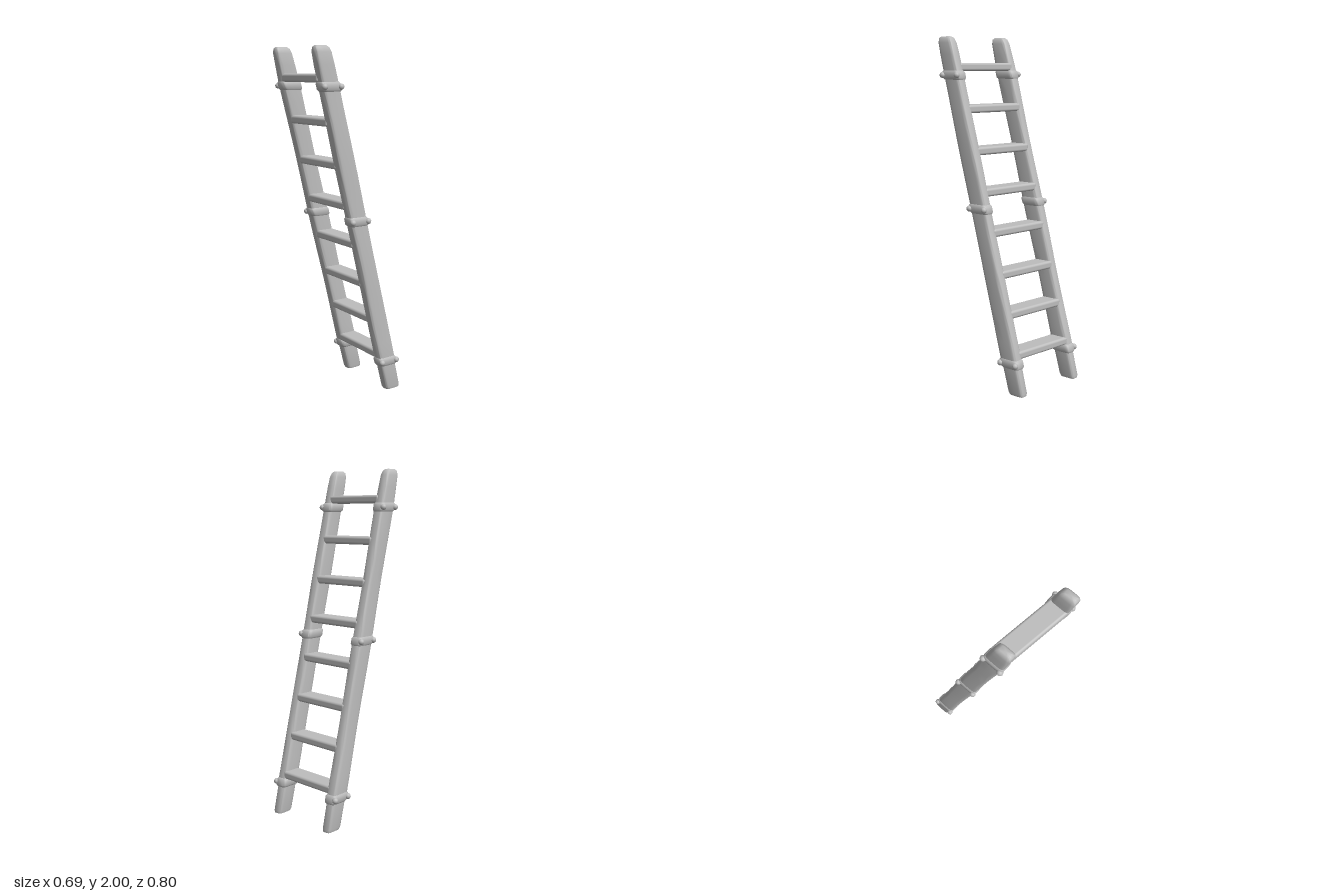
import * as THREE from 'three';
import { toCreasedNormals } from 'three/addons/utils/BufferGeometryUtils.js';
import { RoundedBoxGeometry } from 'three/addons/geometries/RoundedBoxGeometry.js';

const wood = new THREE.MeshStandardMaterial({ color: 0xbdbdbd });
wood.name = 'plain grey wood';

// Horizontal axes of the ladder: across the rails, and towards its front
const side = new THREE.Vector3(0.883, 0, 0.47);
const front = new THREE.Vector3(-0.47, 0, 0.883);
const HALF_W = 0.032, HALF_D = 0.058;

// Centre line of each rail, from foot to tip
const rails = [
  { name: 'right', out: -1, foot: new THREE.Vector3(-0.06, 0, -0.35), tip: new THREE.Vector3(-0.303, 2, 0.127) },
  { name: 'left', out: 1, foot: new THREE.Vector3(0.288, 0, -0.108), tip: new THREE.Vector3(0.045, 2, 0.358) },
];
const railAt = (rail, y) => rail.foot.clone().lerp(rail.tip, y / 2);

// Soft-cornered rectangular sections [y, halfWidth, halfDepth] along a rail
function loft(rail, sections) {
  const N = 24, pos = [], idx = [];
  const soft = (v) => Math.sign(v) * Math.pow(Math.abs(v), 0.4);
  for (const [y, w, d] of sections) {
    const c = railAt(rail, y);
    for (let j = 0; j < N; j++) {
      const a = (j / N) * Math.PI * 2;
      const p = c.clone().addScaledVector(side, soft(Math.cos(a)) * w).addScaledVector(front, soft(Math.sin(a)) * d);
      pos.push(p.x, p.y, p.z);
    }
  }
  const last = sections.length - 1;
  for (const k of [0, last]) pos.push(...railAt(rail, sections[k][0]).toArray());
  const bottom = (last + 1) * N, top = bottom + 1;
  for (let j = 0; j < N; j++) {
    const n = (j + 1) % N;
    for (let i = 0; i < last; i++) {
      const a = i * N + j, b = i * N + n;
      idx.push(a, a + N, b + N, a, b + N, b);
    }
    idx.push(bottom, j, n, top, last * N + n, last * N + j);
  }
  const geo = new THREE.BufferGeometry();
  geo.setAttribute('position', new THREE.Float32BufferAttribute(pos, 3));
  geo.setIndex(idx);
  return toCreasedNormals(geo, 0.9);
}

export function createModel() {
  const model = new THREE.Group();
  model.name = 'ladder';
  const add = (geo, name) => {
    const mesh = new THREE.Mesh(geo, wood);
    mesh.name = name;
    model.add(mesh);
    return mesh;
  };

  for (const rail of rails) {
    // Leaning rail, slightly uneven, with worn ends
    const sections = [[0, 0.78, 0.8], [0.015, 0.9, 0.9], [0.15, 0.92, 0.93]];
    for (let y = 0.2; y < 1.81; y += 0.1) {
      sections.push([y, 1 + 0.04 * Math.sin(y * 9 + rail.out), 1 + 0.03 * Math.sin(y * 7 - rail.out)]);
    }
    sections.push([1.9, 0.97, 0.95], [1.965, 0.92, 0.9], [1.99, 0.75, 0.78], [2, 0.45, 0.55]);
    add(loft(rail, sections.map(([y, w, d]) => [y, w * HALF_W, d * HALF_D])), rail.name + 'Rail');

    // Bands around the rail, each with two knobs on the outer side
    for (const y of [0.18, 1.04, 1.785]) {
      const ring = [[-0.026, 0], [-0.016, 0.007], [0.016, 0.007], [0.026, 0]];
      add(loft(rail, ring.map(([dy, g]) => [y + dy, HALF_W + g, HALF_D + g])), rail.name + 'Band');
      for (const s of [-1, 1]) {
        const knob = add(new THREE.SphereGeometry(0.017, 12, 8), rail.name + 'Knob');
        knob.position.copy(railAt(rail, y))
          .addScaledVector(side, rail.out * (HALF_W + 0.005))
          .addScaledVector(front, s * (HALF_D - 0.003));
      }
    }
  }

  // Flat treads running from rail to rail
  const across = rails[1].foot.clone().sub(rails[0].foot);
  const length = across.length();
  across.normalize();
  const skew = new THREE.Matrix4().makeBasis(across, new THREE.Vector3(0, 1, 0), front);
  [0.225, 0.45, 0.672, 0.905, 1.13, 1.36, 1.595, 1.83].forEach((y, i) => {
    const geo = new RoundedBoxGeometry(length - 0.02, 0.046, 0.116, 3, 0.014);
    geo.applyMatrix4(skew);
    const tread = add(geo, 'tread' + (i + 1));
    tread.position.copy(railAt(rails[0], y)).add(railAt(rails[1], y)).multiplyScalar(0.5);
  });
  return model;
}
